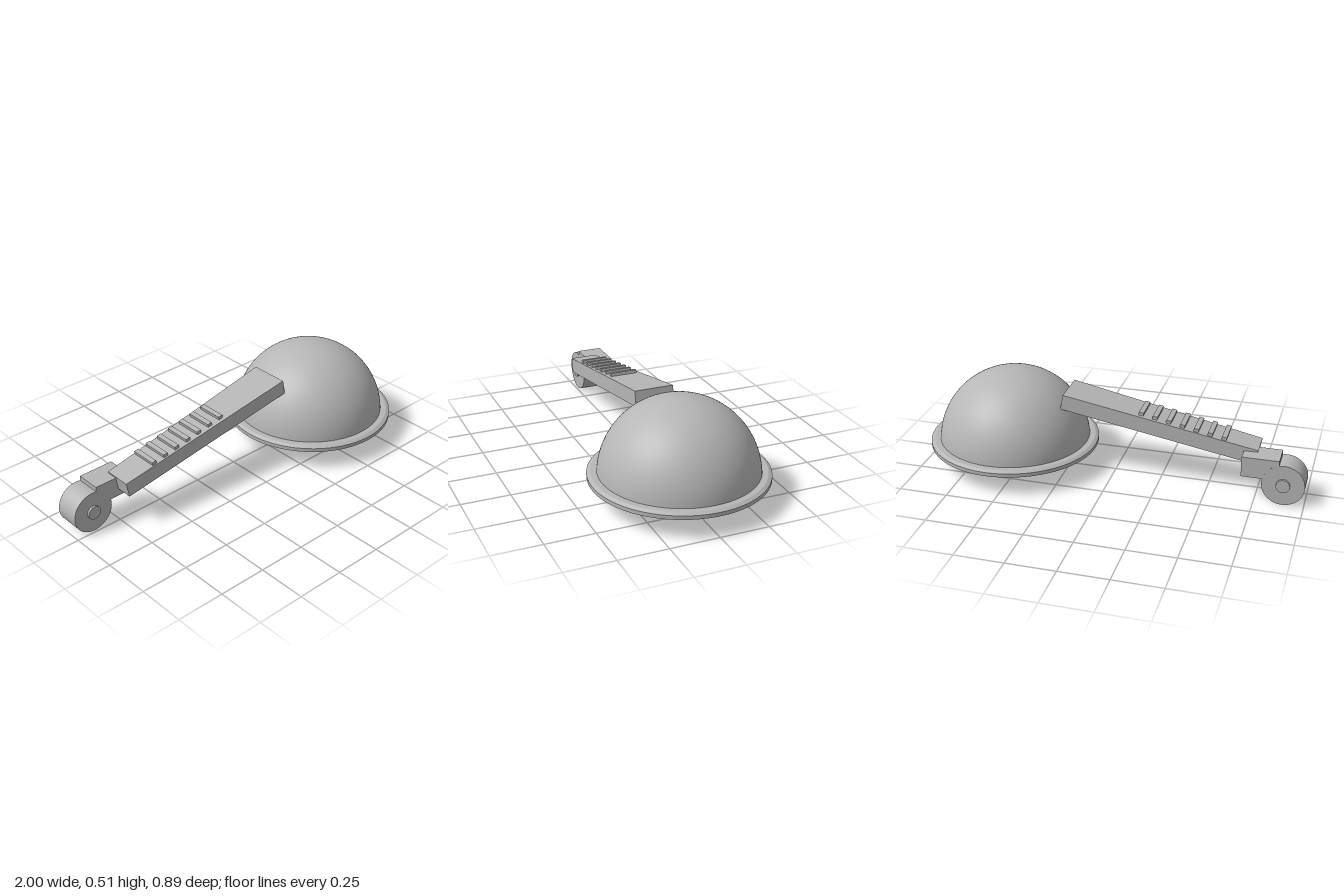
import * as THREE from 'three';
import { toCreasedNormals } from 'three/addons/utils/BufferGeometryUtils.js';

export function createModel() {
  const model = new THREE.Group();
  const grey = new THREE.MeshStandardMaterial({ color: 0xb6b6b6 });
  grey.name = 'plain grey';

  const add = (parent, name, geometry, x = 0, y = 0, z = 0) => {
    const mesh = new THREE.Mesh(geometry, grey);
    mesh.name = name;
    mesh.position.set(x, y, z);
    parent.add(mesh);
    return mesh;
  };
  const lathe = (points) => toCreasedNormals(
    new THREE.LatheGeometry(points.map(([r, y]) => new THREE.Vector2(r, y)), 96), 0.35);

  // Hollow hemisphere: outer arc going up, inner arc coming back down
  const arc = (radius, upward) => Array.from({ length: 33 }, (_, i) => {
    const a = (upward ? i : 32 - i) / 32 * Math.PI / 2;
    return [i === (upward ? 32 : 0) ? 0 : radius * Math.cos(a), radius * Math.sin(a)];
  });
  const bowl = new THREE.Group();
  bowl.name = 'bowl';
  bowl.position.set(0.555, 0.11, 0);
  model.add(bowl);
  add(bowl, 'domeOutside', lathe(arc(0.397, true)));
  add(bowl, 'domeInside', lathe(arc(0.367, false)));
  // Flat rim with a bevelled top edge
  add(bowl, 'rim', lathe([[0.367, 0], [0.444, 0], [0.444, 0.02], [0.426, 0.03], [0.385, 0.03]]));

  // Sloping arm, widening towards the dome
  const arm = new THREE.Group();
  arm.name = 'arm';
  arm.position.set(-0.242, 0.304, 0);
  arm.rotation.z = 0.189;
  model.add(arm);
  const length = 1.022;
  const bar = new THREE.BoxGeometry(length, 0.08, 1);
  const p = bar.attributes.position;
  for (let i = 0; i < p.count; i++) {
    const halfWidth = p.getX(i) < 0 ? 0.072 : 0.102;
    p.setZ(i, Math.sign(p.getZ(i)) * halfWidth);
  }
  bar.computeVertexNormals();
  add(arm, 'armBar', bar);
  // Grip ridges
  for (let i = 0; i < 7; i++) {
    add(arm, 'gripRidge', new THREE.BoxGeometry(0.025, 0.026, 0.14), -0.332 + i * 0.0724, 0.044, 0);
  }

  // Hinge at the low end: barrel, pin and connecting block
  const hinge = new THREE.Group();
  hinge.name = 'hinge';
  hinge.position.set(-0.892, 0.109, -0.078);
  model.add(hinge);
  const barrel = (radius, depth) => new THREE.CylinderGeometry(radius, radius, depth, 64).rotateX(Math.PI / 2);
  add(hinge, 'hingeBarrel', barrel(0.108, 0.131));
  add(hinge, 'hingePin', barrel(0.035, 0.155));
  add(hinge, 'hingeBlock', new THREE.BoxGeometry(0.187, 0.107, 0.13), 0.1185, 0.0765, 0);

  return model;
}
